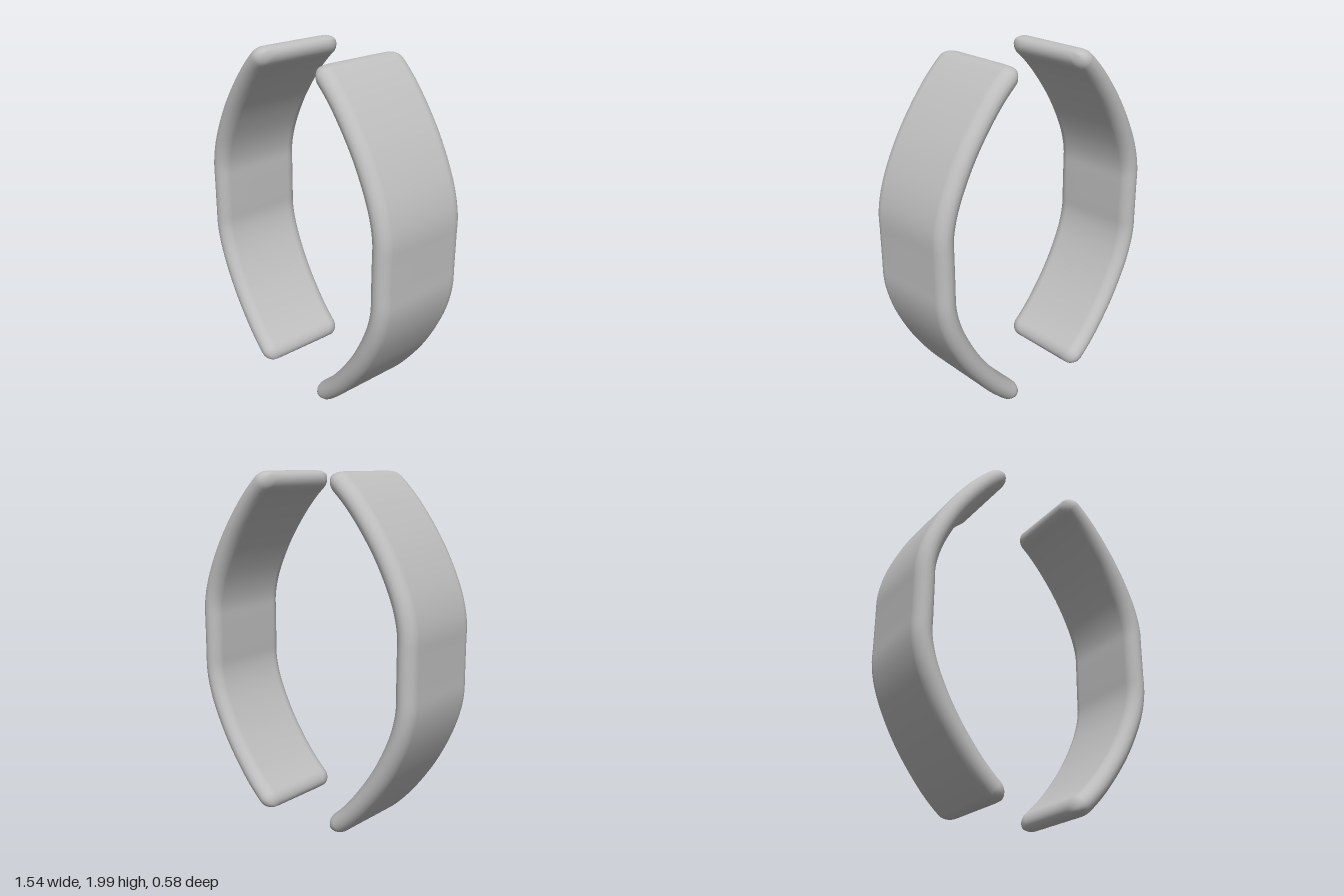
import * as THREE from 'three';
import { mergeVertices } from 'three/addons/utils/BufferGeometryUtils.js';

const HALF_THICK = 0.058, HALF_DEPTH = 0.288, EDGE = 0.07, TIP = 0.075;

// Bowed centre line in the xy plane, mirrored about y = 1
function centreLine() {
  const upper = [[0.71, 1.19], [0.695, 1.28], [0.655, 1.4], [0.552, 1.6], [0.415, 1.79], [0.325, 1.888], [0.222, 1.978]];
  const lower = upper.map(([x, y]) => [x, 2 - y]).reverse();
  const pts = [...lower, [0.71, 0.9], [0.71, 1.1], ...upper];
  return new THREE.CatmullRomCurve3(pts.map(([x, y]) => new THREE.Vector3(x, y, 0)));
}

// Soft-edged flat band swept along the centre line, with rounded-off tips
function bandGeometry() {
  const curve = centreLine();
  curve.arcLengthDivisions = 800;
  const length = curve.getLength();
  const tip = [], body = [];
  for (let i = 0; i < 8; i++) tip.push(TIP * (1 - Math.cos((i / 8) * Math.PI / 2)));
  for (let i = 0; i <= 60; i++) body.push(TIP + (i / 60) * (length - 2 * TIP));
  const stations = [...tip, ...body, ...tip.map(d => length - d).reverse()];

  const HALF = 10, ring = 2 * (HALF + 1);
  const position = [], index = [];
  stations.forEach((s, i) => {
    const p = curve.getPointAt(s / length), t = curve.getTangentAt(s / length);
    const d = Math.min(s, length - s, TIP);
    const round = Math.sqrt(Math.max(0, 1 - (1 - d / TIP) ** 2));
    const h = HALF_THICK * round;
    const flat = HALF_DEPTH - EDGE - 0.07 * (1 - round);
    for (let j = 0; j < ring; j++) {
      const side = j <= HALF ? 1 : -1;
      const a = ((j % (HALF + 1)) / HALF) * Math.PI + (side < 0 ? Math.PI : 0);
      const n = h * Math.cos(a);
      position.push(p.x + t.y * n, p.y - t.x * n, side * flat + EDGE * Math.sin(a));
      if (i < stations.length - 1) {
        const k = (j + 1) % ring;
        const A = i * ring + j, B = i * ring + k, C = A + ring, D = B + ring;
        index.push(A, C, B, B, C, D);
      }
    }
  });
  let geometry = new THREE.BufferGeometry();
  geometry.setAttribute('position', new THREE.Float32BufferAttribute(position, 3));
  geometry.setIndex(index);
  geometry = mergeVertices(geometry, 1e-5);
  geometry.computeVertexNormals();
  return geometry;
}

export function createModel() {
  const group = new THREE.Group();
  group.name = 'curvedBands';
  const grey = new THREE.MeshStandardMaterial({ color: 0xbfbfbf });
  grey.name = 'plain grey';
  const geometry = bandGeometry();

  // Two facing bands; the second is the first turned half round
  ['leftBand', 'rightBand'].forEach((name, i) => {
    const band = new THREE.Mesh(geometry, grey);
    band.name = name;
    band.rotation.y = i * Math.PI;
    group.add(band);
  });
  return group;
}
